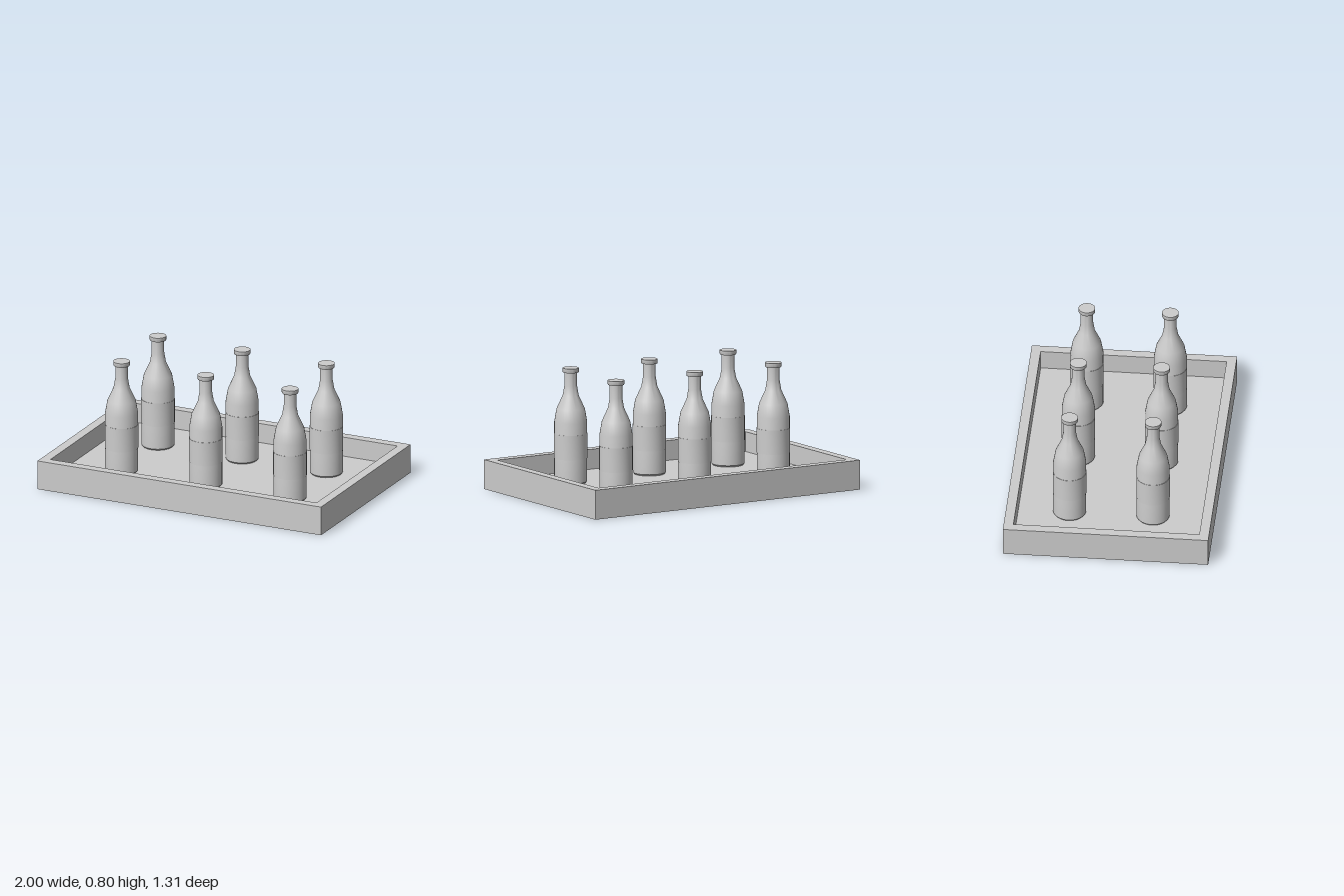
import * as THREE from 'three';
import { toCreasedNormals } from 'three/addons/utils/BufferGeometryUtils.js';

export function createModel() {
  const model = new THREE.Group();
  const grey = new THREE.MeshStandardMaterial({ color: 0xcccccc });
  grey.name = 'plain grey';

  const W = 2, D = 1.31, H = 0.19, WALL = 0.062, FLOOR = 0.062;

  const add = (parent, name, geometry, x = 0, y = 0, z = 0) => {
    const mesh = new THREE.Mesh(geometry, grey);
    mesh.name = name;
    mesh.position.set(x, y, z);
    parent.add(mesh);
    return mesh;
  };
  const rectangle = (path, w, d) => path
    .moveTo(-w / 2, -d / 2).lineTo(w / 2, -d / 2)
    .lineTo(w / 2, d / 2).lineTo(-w / 2, d / 2).closePath();

  // Tray: one continuous rim around a sunken floor
  const tray = new THREE.Group();
  tray.name = 'tray';
  const outline = new THREE.Shape();
  rectangle(outline, W, D);
  const opening = new THREE.Path();
  rectangle(opening, W - 2 * WALL, D - 2 * WALL);
  outline.holes.push(opening);
  const rim = new THREE.ExtrudeGeometry(outline, { depth: H, bevelEnabled: false });
  rim.rotateX(-Math.PI / 2);
  add(tray, 'trayRim', rim);
  add(tray, 'trayFloor', new THREE.BoxGeometry(W - 2 * WALL, FLOOR, D - 2 * WALL), 0, FLOOR / 2, 0);
  model.add(tray);

  // Turned parts share one helper; points are [radius, height]
  const turned = (points) => toCreasedNormals(
    new THREE.LatheGeometry(points.map(([r, y]) => new THREE.Vector2(r, y)), 32), 0.5);

  const glass = turned([
    [0, 0.062], [0.097, 0.062], [0.105, 0.072], [0.105, 0.455], [0.09, 0.54],
    [0.051, 0.625], [0.04, 0.69], [0.04, 0.775],
  ]);
  const label = turned([[0.104, 0.222], [0.107, 0.222], [0.107, 0.38], [0.104, 0.38]]);
  const cap = turned([[0, 0.774], [0.051, 0.774], [0.053, 0.778], [0.053, 0.802], [0, 0.802]]);

  // Two rows of three bottles
  for (const z of [-0.266, 0.266]) {
    for (const x of [-0.594, 0, 0.594]) {
      const bottle = new THREE.Group();
      bottle.name = 'bottle';
      bottle.position.set(x, 0, z);
      add(bottle, 'bottleBody', glass);
      add(bottle, 'bottleLabel', label);
      add(bottle, 'bottleCap', cap);
      model.add(bottle);
    }
  }
  return model;
}
